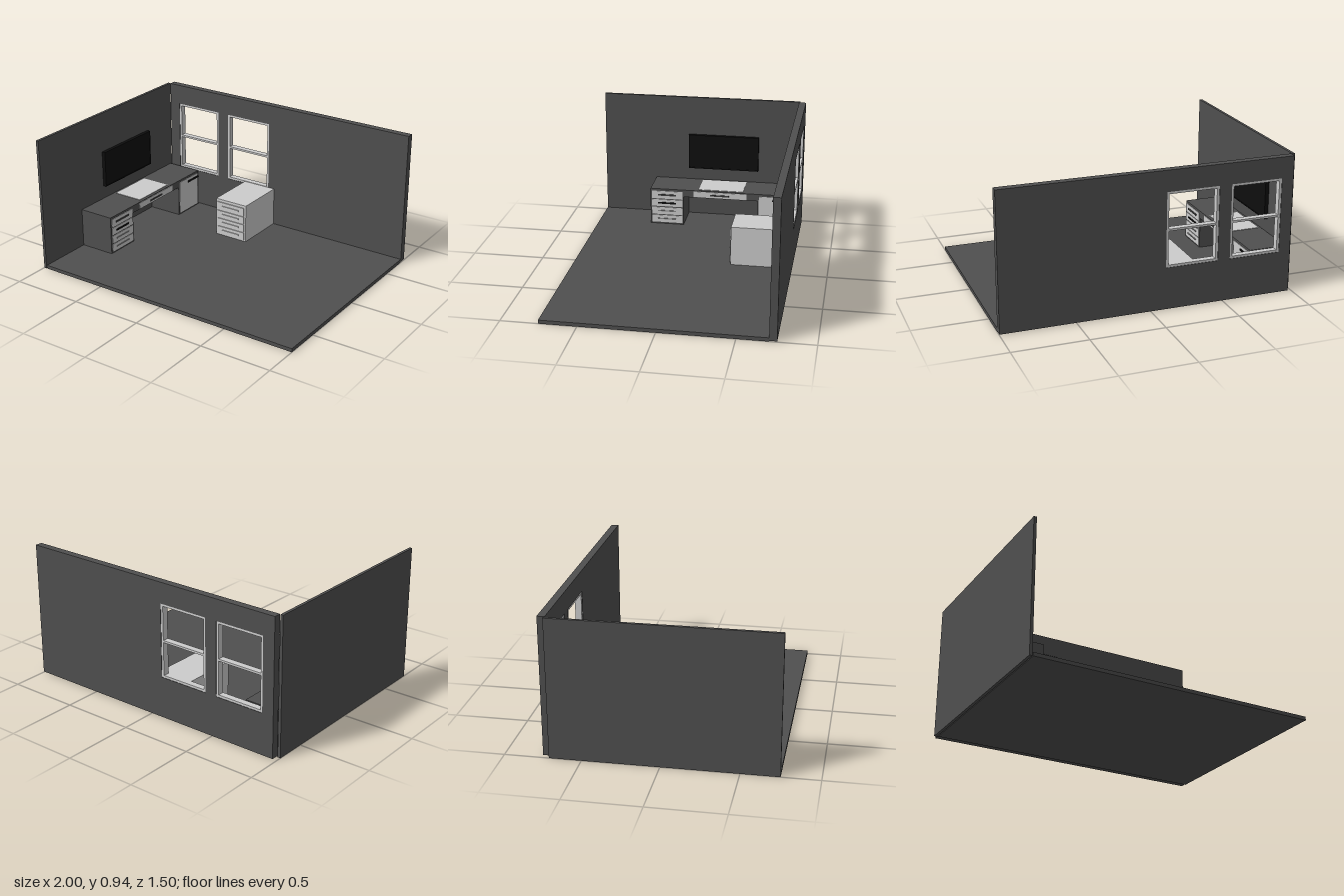
import * as THREE from 'three';

const mat = (name, color) => {
  const m = new THREE.MeshStandardMaterial({ color });
  m.name = name;
  return m;
};

export function createModel() {
  const grey = mat('wallGrey', 0x4f4f4f);
  const white = mat('paintedWhite', 0xcccccc);
  const black = mat('black', 0x0e0e0e);
  const darkMetal = mat('darkMetal', 0x404040);
  const paleMetal = mat('paleMetal', 0x8c8c8c);

  const room = new THREE.Group();
  room.name = 'officeRoom';

  // Box given by its min and max on each axis
  const box = (name, material, [x0, x1], [y0, y1], [z0, z1], parent = room) => {
    const mesh = new THREE.Mesh(new THREE.BoxGeometry(x1 - x0, y1 - y0, z1 - z0), material);
    mesh.position.set((x0 + x1) / 2, (y0 + y1) / 2, (z0 + z1) / 2);
    mesh.name = name;
    parent.add(mesh);
    return mesh;
  };

  // Flat panel with rectangular holes, each rectangle is [x0, x1, y0, y1]
  const rectPath = (path, [x0, x1, y0, y1]) =>
    path.moveTo(x0, y0).lineTo(x1, y0).lineTo(x1, y1).lineTo(x0, y1).closePath();
  const panel = (name, material, outer, holes, depth) => {
    const shape = new THREE.Shape();
    rectPath(shape, outer);
    for (const hole of holes) {
      const path = new THREE.Path();
      rectPath(path, hole);
      shape.holes.push(path);
    }
    const geometry = new THREE.ExtrudeGeometry(shape, { depth, bevelEnabled: false });
    const mesh = new THREE.Mesh(geometry, material);
    mesh.name = name;
    room.add(mesh);
    return mesh;
  };

  // Floor and walls
  const windows = [[-0.892, -0.54, 0.29, 0.797], [-0.455, -0.097, 0.29, 0.797]];
  box('floor', grey, [-0.974, 1], [0, 0.025], [-0.704, 0.75]);
  box('leftWall', grey, [-1, -0.98], [0, 0.94], [-0.71, 0.75]);
  panel('backWall', grey, [-0.974, 1, 0.005, 0.94], windows, 0.05).position.z = -0.754;

  // Window frames with a middle rail
  for (const w of windows) {
    const [x0, x1, y0, y1] = w;
    const t = 0.016;
    const panes = [
      [x0 + t, x1 - t, y0 + t, 0.535],
      [x0 + t, x1 - t, 0.549, y1 - t],
    ];
    panel('windowFrame', white, w, panes, 0.044).position.z = -0.751;
  }

  // Desk: two pedestals under one top, outlined from the side and extruded across
  const outline = [[-0.36, 0.025], [-0.11, 0.025], [-0.11, 0.246], [0.44, 0.246],
    [0.44, 0.025], [0.688, 0.025], [0.688, 0.3], [-0.36, 0.3]];
  const deskShape = new THREE.Shape(outline.map(([x, y]) => new THREE.Vector2(x, y)));
  const desk = new THREE.Mesh(
    new THREE.ExtrudeGeometry(deskShape, { depth: 0.257, bevelEnabled: false }), grey);
  desk.name = 'deskBody';
  desk.rotation.y = Math.PI / 2;
  desk.position.x = -0.975;
  room.add(desk);
  box('deskMat', white, [-0.955, -0.74], [0.3, 0.303], [-0.33, 0]);

  // Desk drawers, pencil drawer and cupboard door
  const rows = [[0.224, 0.284], [0.164, 0.217], [0.1, 0.156], [0.037, 0.093]];
  const handleMats = [darkMetal, black, paleMetal, paleMetal];
  const front = [-0.72, -0.714];
  const grip = [-0.715, -0.709];
  rows.forEach((y, i) => {
    const mid = (y[0] + y[1]) / 2;
    const h = i < 2 ? 0.006 : 0.004;
    box('deskDrawer', white, front, y, [0.12, 0.348]);
    box('deskDrawerHandle', handleMats[i], grip, [mid - h, mid + h], [0.167, 0.304]);
  });
  box('pencilDrawer', white, front, [0.249, 0.295], [-0.358, 0.035]);
  box('pencilDrawerHandle', darkMetal, grip, [0.265, 0.276], [-0.228, -0.09]);
  box('cupboardDoor', white, front, [0.037, 0.284], [-0.678, -0.45]);
  box('cupboardHandle', black, grip, [0.25, 0.264], [-0.68, -0.55]);

  // Free-standing filing cabinet
  const cabinet = new THREE.Group();
  cabinet.name = 'filingCabinet';
  room.add(cabinet);
  box('cabinetBody', white, [-0.301, -0.047], [0.025, 0.304], [-0.704, -0.33], cabinet);
  for (const y of rows) {
    const mid = (y[0] + y[1]) / 2;
    box('cabinetDrawer', white, [-0.287, -0.061], y, [-0.331, -0.323], cabinet);
    box('cabinetHandle', white, [-0.243, -0.105], [mid - 0.005, mid + 0.005], [-0.324, -0.316], cabinet);
  }

  // Wall screen: raised rim around a recessed display
  const rim = panel('screenRim', black, [-0.11, 0.415, 0.392, 0.654],
    [[-0.103, 0.408, 0.399, 0.647]], 0.026);
  rim.rotation.y = Math.PI / 2;
  rim.position.x = -0.98;
  box('screen', black, [-0.979, -0.957], [0.397, 0.649], [-0.41, 0.105]);

  return room;
}
